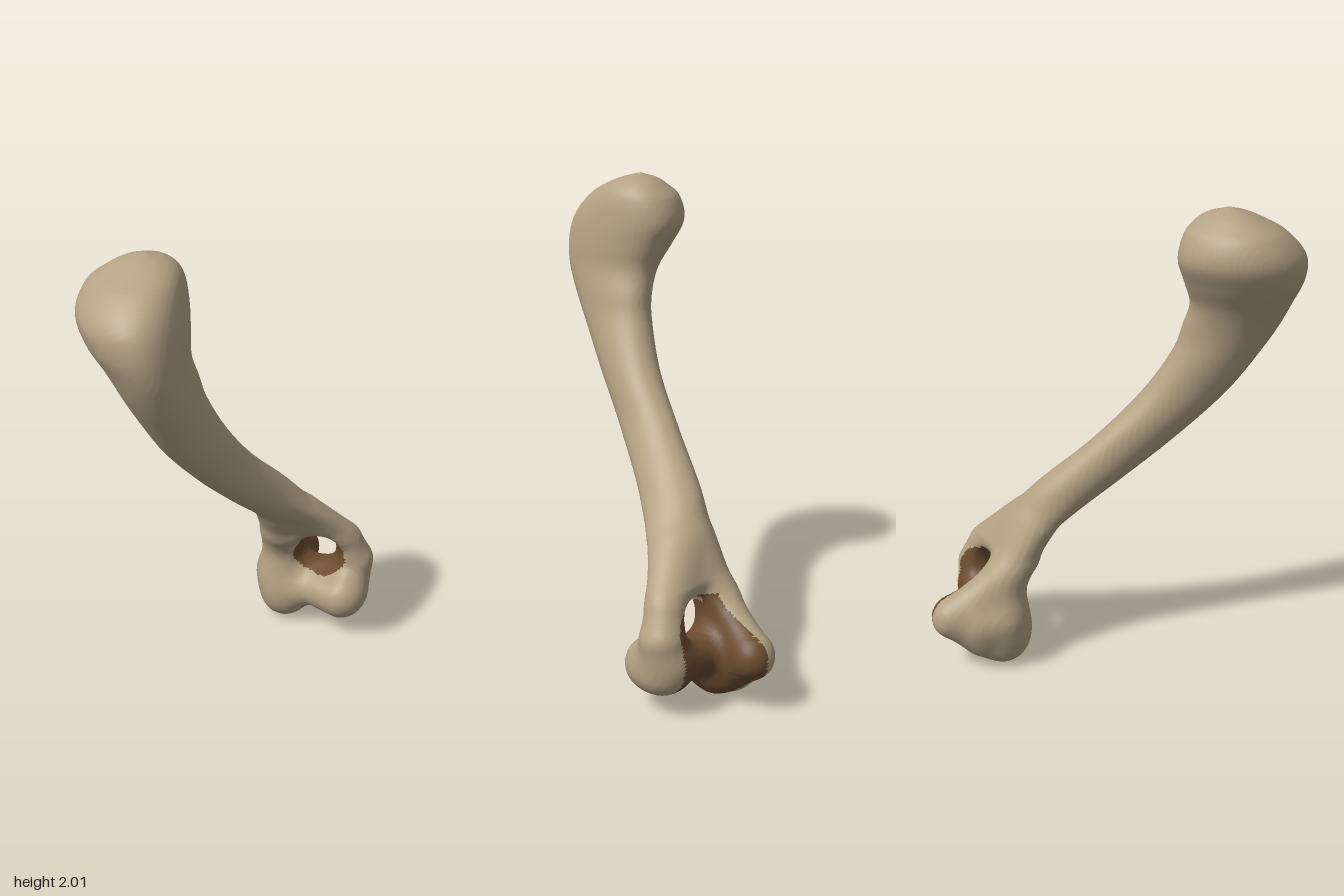
import * as THREE from 'three';

// Upper bone: horizontal sections as [y, xMin, xMax, zMin, zMax, skew]
const SECTIONS = [
  [0.5, 0.04, 0.41, -0.45, -0.28, 0],
  [0.6, 0.01, 0.34, -0.40, -0.18, 0],
  [0.7, -0.02, 0.255, -0.345, -0.06, -0.1],
  [0.8, -0.06, 0.18, -0.275, 0.06, -0.2],
  [1.0, -0.15, 0.06, -0.07, 0.28, -0.26],
  [1.2, -0.245, -0.01, 0.115, 0.465, -0.26],
  [1.4, -0.33, -0.07, 0.235, 0.61, -0.15],
  [1.5, -0.375, -0.09, 0.262, 0.67, -0.1],
  [1.6, -0.43, -0.11, 0.27, 0.71, 0],
  [1.7, -0.50, -0.115, 0.23, 0.73, 0],
  [1.8, -0.54, -0.125, 0.19, 0.71, 0],
  [1.9, -0.505, -0.145, 0.215, 0.615, 0],
  [1.95, -0.435, -0.175, 0.265, 0.525, 0],
  [1.98, -0.375, -0.225, 0.31, 0.455, 0],
  [2.0, -0.302, -0.298, 0.38, 0.384, 0],
];

// Lower end: chains of tapered capsules as [x, y, z, radius]
const CHAINS = [
  // inner column and knuckle
  [[0.12, 0.60, -0.29, 0.08], [0.11, 0.38, -0.42, 0.085], [0.112, 0.21, -0.45, 0.11], [0.125, 0.1, -0.44, 0.095]],
  // rear lobe: lower edge, middle and upper ridge
  [[0.125, 0.1, -0.44, 0.095], [0.13, 0.125, -0.53, 0.09], [0.165, 0.22, -0.655, 0.068]],
  [[0.112, 0.21, -0.45, 0.11], [0.12, 0.21, -0.54, 0.105], [0.165, 0.22, -0.655, 0.068]],
  [[0.11, 0.40, -0.43, 0.075], [0.155, 0.25, -0.645, 0.068]],
  // outer column
  [[0.22, 0.60, -0.30, 0.07], [0.40, 0.425, -0.40, 0.078], [0.435, 0.32, -0.42, 0.095], [0.41, 0.18, -0.41, 0.1]],
  // cross bar and front knuckle
  [[0.12, 0.14, -0.42, 0.09], [0.26, 0.17, -0.38, 0.082], [0.395, 0.18, -0.33, 0.111]],
  // ledge behind the cross bar
  [[0.15, 0.22, -0.46, 0.08], [0.40, 0.22, -0.45, 0.075]],
];

const smoothMin = (a, b, k) => {
  const h = Math.max(k - Math.abs(a - b), 0) / k;
  return Math.min(a, b) - h * h * k / 4;
};
const smoothMax = (a, b, k) => -smoothMin(-a, -b, k);

// Smooth interpolation through the section table
function sectionAt(y) {
  const S = SECTIONS, n = S.length;
  if (y <= S[0][0]) return S[0];
  if (y >= S[n - 1][0]) return S[n - 1];
  let i = 0;
  while (S[i + 1][0] < y) i++;
  const p = S[i], q = S[i + 1], o = S[Math.max(i - 1, 0)], r = S[Math.min(i + 2, n - 1)];
  const w = q[0] - p[0], t = (y - p[0]) / w, t2 = t * t, t3 = t2 * t;
  return p.map((v, c) => {
    const m0 = (q[c] - o[c]) / (q[0] - o[0]) * w, m1 = (r[c] - v) / (r[0] - p[0]) * w;
    return (2 * t3 - 3 * t2 + 1) * v + (t3 - 2 * t2 + t) * m0 + (3 * t2 - 2 * t3) * q[c] + (t3 - t2) * m1;
  });
}

// Skewed ellipse sections, flatter on the +x side towards the head
function shaftField(x, y, z) {
  const [, x0, x1, z0, z1, skew] = sectionAt(y);
  const a = Math.max((x1 - x0) / 2, 0.002), b = Math.max((z1 - z0) / 2, 0.002);
  const flat = 0.22 * THREE.MathUtils.smoothstep(y, 1.2, 1.6);
  const u = (x - (x0 + x1) / 2) / a;
  const v = (z - (z0 + z1) / 2) / b * (1 - flat * THREE.MathUtils.clamp(u, -1.2, 1.2));
  const k = Math.sqrt((u * u - 2 * skew * u * v + v * v) / (1 - skew * skew));
  const d = (k - 1) * Math.min(a, b) + Math.max(y - 2, 0);
  return smoothMax(d, 0.44 - y, 0.05);
}

function capsuleField(x, y, z, p, q) {
  const dx = q[0] - p[0], dy = q[1] - p[1], dz = q[2] - p[2];
  const dot = (x - p[0]) * dx + (y - p[1]) * dy + (z - p[2]) * dz;
  const t = Math.min(1, Math.max(0, dot / (dx * dx + dy * dy + dz * dz)));
  return Math.hypot(x - p[0] - t * dx, y - p[1] - t * dy, z - p[2] - t * dz) - p[3] - t * (q[3] - p[3]);
}

// Negative inside the bone, positive outside
function boneField(x, y, z) {
  let d = shaftField(x, y, z);
  if (y > 0.85) return d;
  for (const chain of CHAINS) {
    // segments of one chain join plainly, chains blend into each other
    let c = Infinity;
    for (let i = 0; i + 1 < chain.length; i++) c = Math.min(c, capsuleField(x, y, z, chain[i], chain[i + 1]));
    d = smoothMin(d, c, 0.06);
  }
  // opening between the columns, flaring towards the front
  const radius = 0.068 + 0.4 * Math.max(0, z + 0.42);
  return smoothMax(d, radius - Math.hypot(x - 0.29, y - 0.37), 0.03);
}

// Hollow behind and inside the opening
function inHollow(x, y, z) {
  const behind = z < -0.43 && x > 0.175 && x < 0.425 && y < 0.455 && x + y < 0.77;
  const opening = z < -0.33 && Math.hypot((x - 0.3) / 0.13, (y - 0.35) / 0.09) < 1;
  const underside = z < -0.39 && y < 0.12 && x > 0.165 && x < 0.3;
  return behind || opening || underside;
}

// Surface of the field on a regular grid, one vertex per crossed cell
function buildSurface() {
  const step = 0.0145, min = [-0.62, -0.05, -0.8];
  const size = [1.24, 2.12, 1.6].map((s) => Math.ceil(s / step));
  const stride = [1, size[0], size[0] * size[1]];
  const total = size[0] * size[1] * size[2];
  const field = new Float32Array(total), cellVertex = new Int32Array(total).fill(-1);
  const forEachCell = (from, visit) => {
    for (let k = from; k < size[2] - 1; k++)
      for (let j = from; j < size[1] - 1; j++)
        for (let i = from; i < size[0] - 1; i++) visit(i, j, k, i + j * stride[1] + k * stride[2]);
  };
  for (let k = 0, n = 0; k < size[2]; k++)
    for (let j = 0; j < size[1]; j++)
      for (let i = 0; i < size[0]; i++, n++)
        field[n] = boneField(min[0] + i * step, min[1] + j * step, min[2] + k * step);

  const positions = [];
  forEachCell(0, (i, j, k, n) => {
    const sum = [0, 0, 0];
    let count = 0;
    for (let c = 0; c < 8; c++) {
      const corner = [c & 1, (c >> 1) & 1, c >> 2];
      const m = n + corner[0] + corner[1] * stride[1] + corner[2] * stride[2];
      for (let a = 0; a < 3; a++) {
        if (corner[a]) continue;
        const f = field[m], g = field[m + stride[a]];
        if ((f < 0) === (g < 0)) continue;
        for (let e = 0; e < 3; e++) sum[e] += corner[e] + (e === a ? f / (f - g) : 0);
        count++;
      }
    }
    if (!count) return;
    cellVertex[n] = positions.length / 3;
    [i, j, k].forEach((g, e) => positions.push(min[e] + (g + sum[e] / count) * step));
  });

  const boneFaces = [], hollowFaces = [];
  forEachCell(1, (i, j, k, n) => {
    for (let a = 0; a < 3; a++) {
      const inside = field[n] < 0;
      if (inside === (field[n + stride[a]] < 0)) continue;
      const b = stride[(a + 1) % 3], c = stride[(a + 2) % 3];
      const quad = [n - b - c, n - c, n, n - b].map((m) => cellVertex[m]);
      if (!inside) quad.reverse();
      const [p, q, r, s] = quad;
      for (const tri of [[p, q, r], [p, r, s]]) {
        const mid = [0, 1, 2].map((e) => tri.reduce((t, v) => t + positions[v * 3 + e], 0) / 3);
        (inHollow(...mid) ? hollowFaces : boneFaces).push(...tri);
      }
    }
  });

  const geometry = new THREE.BufferGeometry();
  geometry.setAttribute('position', new THREE.Float32BufferAttribute(positions, 3));
  geometry.setIndex(boneFaces.concat(hollowFaces));
  geometry.addGroup(0, boneFaces.length, 0);
  geometry.addGroup(boneFaces.length, hollowFaces.length, 1);
  geometry.computeVertexNormals();
  return geometry;
}

export function createModel() {
  const boneMaterial = new THREE.MeshStandardMaterial({ color: 0xb3a284 });
  boneMaterial.name = 'bone';
  const hollowMaterial = new THREE.MeshStandardMaterial({ color: 0x6b4c30 });
  hollowMaterial.name = 'dark hollow';

  const bone = new THREE.Mesh(buildSurface(), [boneMaterial, hollowMaterial]);
  bone.name = 'limbBone';
  const group = new THREE.Group();
  group.name = 'bone';
  group.add(bone);
  return group;
}
